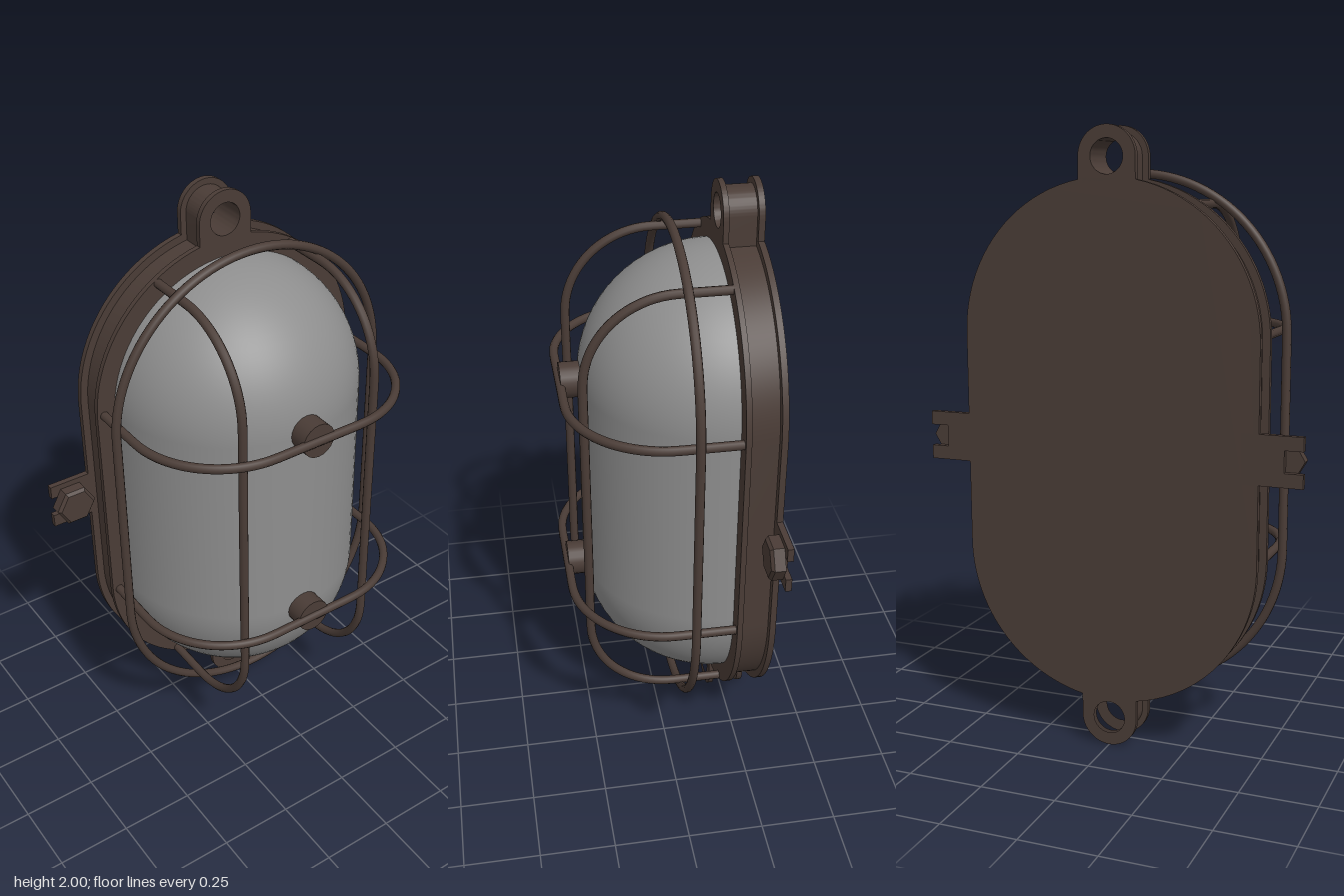
import * as THREE from 'three';
import { toCreasedNormals } from 'three/addons/utils/BufferGeometryUtils.js';

const HALF = 0.35; // half length of the straight sides
const MID = 1;     // height of the lamp's centre

export function createModel() {
  const group = new THREE.Group();
  const metal = new THREE.MeshStandardMaterial({ color: 0x4a3c36 });
  metal.name = 'dark bronze';
  const glass = new THREE.MeshStandardMaterial({ color: 0x8e8e8e });
  glass.name = 'grey glass';

  const add = (name, geometry, material = metal) => {
    const mesh = new THREE.Mesh(geometry, material);
    mesh.name = name;
    group.add(mesh);
    return mesh;
  };
  const slab = (name, shape, z0, z1) => {
    const g = new THREE.ExtrudeGeometry(shape, { depth: z1 - z0, bevelEnabled: false, curveSegments: 24 });
    g.translate(0, 0, z0);
    return add(name, toCreasedNormals(g, 0.6));
  };
  const stadium = (r) => {
    const s = new THREE.Shape();
    s.absarc(0, MID + HALF, r, 0, Math.PI);
    s.absarc(0, MID - HALF, r, Math.PI, Math.PI * 2);
    s.closePath();
    return s;
  };
  // Mounting eye at the top (side = 1) or bottom (side = -1)
  const eye = (r, side) => {
    const s = new THREE.Shape();
    const cy = MID + side * 0.905;
    s.moveTo(r, MID + side * 0.8);
    s.lineTo(r, cy);
    s.absarc(0, cy, r, 0, side * Math.PI, side < 0);
    s.lineTo(-r, MID + side * 0.8);
    s.closePath();
    const hole = new THREE.Path();
    hole.absarc(0, cy, 0.054, 0, Math.PI * 2, true);
    s.holes.push(hole);
    return s;
  };

  // Base: two flanges with a narrower core, repeated in the eyes
  const layers = [
    ['backFlange', 0.495, 0.095, -0.325, -0.305],
    ['core', 0.47, 0.075, -0.305, -0.215],
    ['frontFlange', 0.495, 0.095, -0.215, -0.197],
  ];
  for (const [name, r, eyeR, z0, z1] of layers) {
    slab(name, stadium(r), z0, z1);
    for (const side of [1, -1]) slab(name + 'Eye', eye(eyeR, side), z0, z1);
  }

  // Glass: front half of a capsule
  const profile = [];
  const R = 0.433, STEPS = 20;
  for (const side of [-1, 1]) {
    for (let i = 0; i <= STEPS; i++) {
      const a = (side < 0 ? i - STEPS : i) / STEPS * Math.PI / 2;
      profile.push(new THREE.Vector2(Math.max(0, R * Math.cos(a)), side * HALF + R * Math.sin(a)));
    }
  }
  const dome = add('glassDome', new THREE.LatheGeometry(profile, 40, -Math.PI / 2, Math.PI), glass);
  dome.position.set(0, MID, -0.2);
  dome.scale.z = 1.03;

  // Wire hoop running round the cage
  const hoopPoints = stadium(0.505).getSpacedPoints(120).slice(0, -1)
    .map((p) => new THREE.Vector3(p.x, p.y, -0.06));
  add('cageHoop', new THREE.TubeGeometry(new THREE.CatmullRomCurve3(hoopPoints, true), 160, 0.015, 10, true));

  // Wire bow: out of the flange, round a corner, across and back
  const bow = (name, half, front, radius, place) => {
    const pts = [];
    const corner = half - radius;
    pts.push([half, -0.205], [half, -0.1]);
    for (let i = 0; i <= 12; i++) {
      const a = i / 12 * Math.PI / 2;
      pts.push([corner + radius * Math.cos(a), front - radius + radius * Math.sin(a)]);
    }
    pts.push([corner * 0.5, front]);
    const all = pts.concat(pts.slice().reverse().map(([u, z]) => [-u, z]));
    const curve = new THREE.CatmullRomCurve3(all.map(([u, z]) => place(u, z)), false, 'centripetal');
    add(name, new THREE.TubeGeometry(curve, 100, 0.015, 10));
  };
  for (const side of [1, -1]) {
    bow('uprightBar', 0.76, 0.255, 0.29, (u, z) => new THREE.Vector3(side * 0.25, MID + u, z));
    bow('crossBar', 0.47, 0.305, 0.31, (u, z) => new THREE.Vector3(u, MID + side * 0.36, z));

    // Spacer stud between the glass and the cross bar
    const stud = new THREE.CylinderGeometry(0.059, 0.059, 0.085, 20).rotateX(Math.PI / 2);
    add('spacerStud', stud).position.set(0, MID + side * 0.36, 0.2625);

    // Slotted side tab
    const tab = new THREE.Shape();
    [[0.44, -0.08], [0.635, -0.08], [0.635, -0.035], [0.575, -0.035],
      [0.575, 0.035], [0.635, 0.035], [0.635, 0.08], [0.44, 0.08]]
      .forEach(([x, y], i) => tab[i ? 'lineTo' : 'moveTo'](side * x, MID + y));
    tab.closePath();
    slab('sideTab', tab, -0.325, -0.305);

    // Hexagonal bolt head with a chamfered face
    const hex = (top, bottom, h) => toCreasedNormals(
      new THREE.CylinderGeometry(top, bottom, h, 6, 1, false, Math.PI / 6).rotateX(Math.PI / 2), 0.3);
    add('boltHead', hex(0.07, 0.07, 0.035)).position.set(side * 0.565, MID, -0.2875);
    add('boltChamfer', hex(0.06, 0.07, 0.01)).position.set(side * 0.565, MID, -0.265);
  }
  return group;
}
